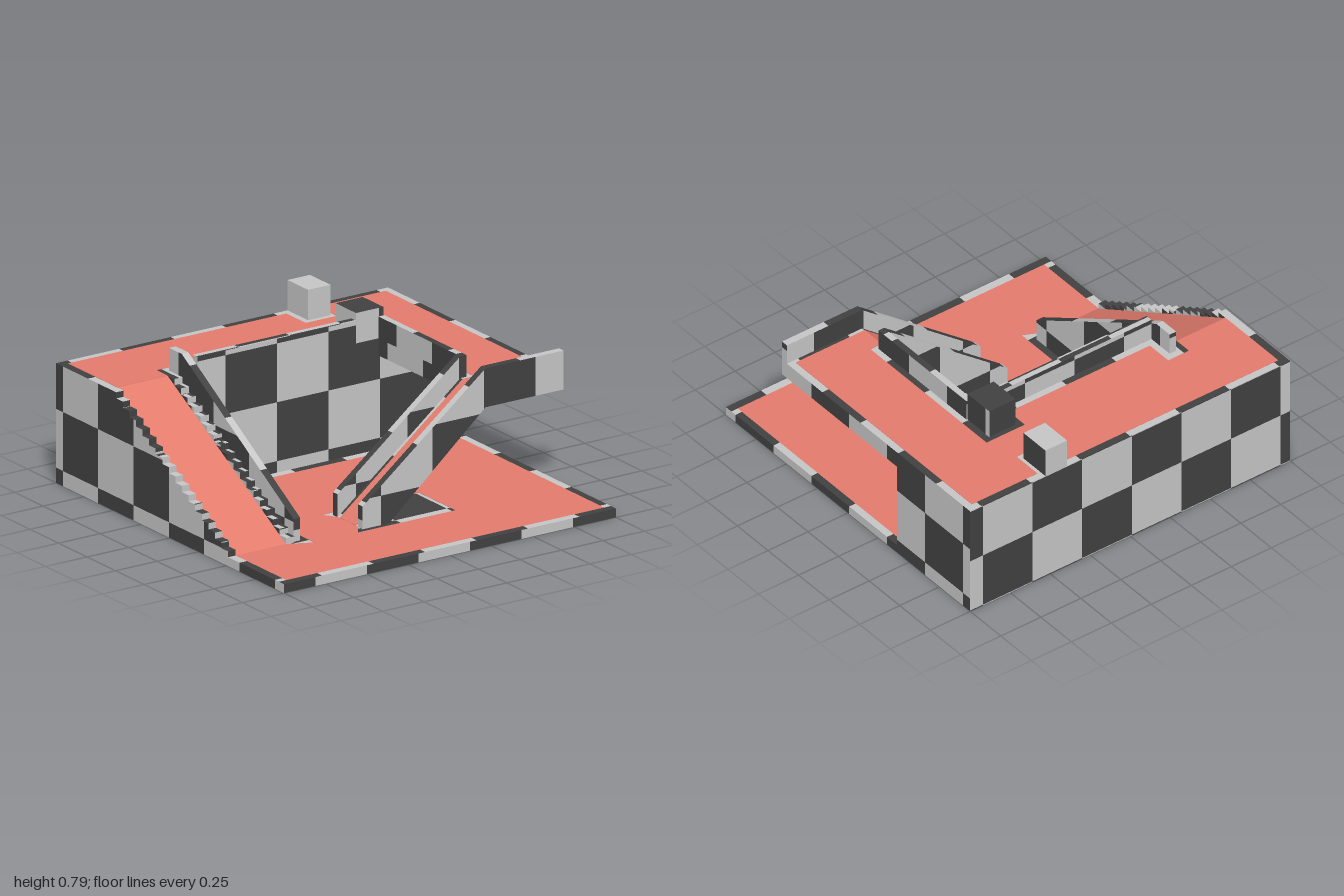
import * as THREE from 'three';

const light = new THREE.MeshStandardMaterial({ color: 0xc6c6c6 });
light.name = 'lightGrey';
const dark = new THREE.MeshStandardMaterial({ color: 0x414141 });
dark.name = 'darkGrey';
const red = new THREE.MeshStandardMaterial({ color: 0xe47c6d });
red.name = 'redFloor';

const CELL = 0.31;
const FLOOR = 0.045, DECK = 0.63, RAIL = 0.745;

// Default checker grid origin for faces whose normal runs along x, y or z
const GRID = [[0, 0.08, -0.01], [0, 0, -0.1], [0.23, 0.105, 0]];

// Part of a polygon lying on one side of an axis-aligned plane
function clip(poly, axis, value, sign) {
  const out = [];
  poly.forEach((a, i) => {
    const b = poly[(i + 1) % poly.length];
    const da = (a[axis] - value) * sign, db = (b[axis] - value) * sign;
    if (da >= 0) out.push(a);
    if (da * db < 0) out.push(a.map((v, k) => v + (b[k] - v) * da / (da - db)));
  });
  return out;
}

// Cuts every face along a checker grid and sorts the pieces into two groups
function checkered(source, grid = GRID) {
  const geo = source.index ? source.toNonIndexed() : source;
  const p = geo.attributes.position;
  const pieces = [[], []];
  const A = new THREE.Vector3(), B = new THREE.Vector3(), C = new THREE.Vector3();
  for (let t = 0; t < p.count; t += 3) {
    [A, B, C].forEach((v, k) => v.fromBufferAttribute(p, t + k));
    const tri = [A, B, C].map(v => v.toArray());
    const n = B.clone().sub(A).cross(C.clone().sub(A)).toArray().map(Math.abs);
    const main = n.indexOf(Math.max(...n));
    const [u, v] = [0, 1, 2].filter(k => k !== main);
    const range = k => {
      const idx = tri.map(q => (q[k] - grid[main][k]) / CELL);
      return [Math.floor(Math.min(...idx) + 1e-5), Math.ceil(Math.max(...idx) - 1e-5)];
    };
    const cut = (poly, k, i) => {
      const lo = grid[main][k] + i * CELL;
      return clip(clip(poly, k, lo, 1), k, lo + CELL, -1);
    };
    const [u0, u1] = range(u), [v0, v1] = range(v);
    for (let i = u0; i < u1; i++) {
      const strip = cut(tri, u, i);
      for (let j = v0; j < v1; j++) {
        const cell = cut(strip, v, j);
        for (let k = 2; k < cell.length; k++)
          pieces[Math.abs(i + j) % 2].push(...cell[0], ...cell[k - 1], ...cell[k]);
      }
    }
  }
  const out = new THREE.BufferGeometry();
  out.setAttribute('position', new THREE.Float32BufferAttribute([...pieces[0], ...pieces[1]], 3));
  out.addGroup(0, pieces[0].length / 3, 0);
  out.addGroup(pieces[0].length / 3, pieces[1].length / 3, 1);
  out.computeVertexNormals();
  return out;
}

const shapeOf = pts => new THREE.Shape(pts.map(q => new THREE.Vector2(...q)));
const extrude = (shape, depth) => new THREE.ExtrudeGeometry(shape, { depth, bevelEnabled: false });
const box = (x0, x1, y0, y1, z0, z1) =>
  new THREE.BoxGeometry(x1 - x0, y1 - y0, z1 - z0).translate((x0 + x1) / 2, (y0 + y1) / 2, (z0 + z1) / 2);
// Profile in (z, y), extruded along x
const alongX = (pts, x0, x1) =>
  extrude(shapeOf(pts.map(([z, y]) => [-z, y])), x1 - x0).rotateY(Math.PI / 2).translate(x0, 0, 0);
// Profile in (x, y), extruded along z
const alongZ = (pts, z0, z1) => extrude(shapeOf(pts), z1 - z0).translate(0, 0, z0);
// Plan in (x, z), extruded upwards
const flip = pts => pts.map(([x, z]) => [x, -z]);
function alongY(pts, y0, y1, hole) {
  const s = shapeOf(flip(pts));
  if (hole) s.holes.push(shapeOf(flip(hole)));
  return extrude(s, y1 - y0).rotateX(-Math.PI / 2).translate(0, y0, 0);
}

export function createModel() {
  const group = new THREE.Group();
  const add = (name, geo, material) => {
    const m = new THREE.Mesh(geo, material);
    m.name = name;
    group.add(m);
  };
  const addChecker = (name, geo, grid) => add(name, checkered(geo, grid), [light, dark]);

  // Ground slab with its red floor; bare border left around walls and ramp
  const slabFront = [0.12, -0.4, 0];
  addChecker('groundSlab', box(-1, 1, 0, FLOOR, -0.98, 1), [GRID[0], GRID[1], slabFront]);
  add('groundFloor', alongY(
    [[-0.955, 0.955], [0.96, 0.955], [0.96, -0.35], [-0.52, -0.35], [-0.52, 0.57], [-0.65, 0.51], [-0.955, 0.51]],
    FLOOR - 0.002, FLOOR + 0.002,
    [[-0.26, 0.25], [0.33, 0.25], [0.33, 0.57], [-0.26, 0.57], [-0.21, 0.5], [-0.21, 0.32]]), red);

  // Striped edging on the slab's front and sides
  const edgeTop = FLOOR + 0.002;
  addChecker('frontEdging', box(-1, 1, FLOOR, edgeTop, 0.955, 1), [GRID[0], [0.16, 0, 0.6], slabFront]);
  const sideGrid = [GRID[0], [-0.155, 0, -0.01], slabFront];
  addChecker('leftEdging', box(0.96, 1, FLOOR, edgeTop, -0.4, 0.955), sideGrid);
  addChecker('rightEdging', box(-1, -0.955, FLOOR, edgeTop, 0.51, 0.955), sideGrid);

  // Raised back block, its rear wall and the bridge deck
  addChecker('backBlock', alongY(
    [[-1, -0.98], [1, -0.98], [1, -0.4], [-0.6, -0.4], [-0.6, -0.53], [-1, -0.53]], FLOOR, DECK));
  addChecker('rearWall', box(-1, 1, 0, DECK, -1, -0.98), [GRID[0], GRID[1], [0.3, 0.005, 0]]);
  addChecker('bridgeDeck', box(0.53, 1, 0.54, DECK, -0.4, 0.5));
  add('upperFloor', alongY(
    [[-0.955, -0.96], [0.36, -0.96], [0.36, -0.79], [0.55, -0.79], [0.55, -0.96], [0.96, -0.96],
      [0.96, 0.48], [0.53, 0.48], [0.53, 0.34], [0.6, 0.34], [0.6, -0.61], [0.36, -0.61],
      [0.36, -0.48], [-0.52, -0.48], [-0.52, -0.63], [-0.65, -0.63], [-0.65, -0.53], [-0.955, -0.53]],
    DECK - 0.002, DECK + 0.002), red);

  // Staircase: stepped edges on both sides of a smooth red ramp
  const STEPS = 18, zFront = 0.51, zBack = -0.53;
  const rise = (DECK - FLOOR) / STEPS, tread = (zFront - zBack) / STEPS;
  const steps = [[zBack, FLOOR], [zFront, FLOOR]];
  for (let k = 0; k < STEPS; k++) {
    const y = FLOOR + (k + 1) * rise;
    steps.push([zFront - k * tread, y], [zFront - (k + 1) * tread, y]);
  }
  addChecker('outerSteps', alongX(steps, -1, -0.955));
  addChecker('innerSteps', alongX(steps, -0.65, -0.6));
  add('stairRamp', alongX([[zFront, FLOOR], [zBack, DECK], [zBack, FLOOR]], -0.955, -0.65), red);
  addChecker('stairWall', alongX(
    [[0.5, FLOOR], [0.5, 0.165], [-0.48, 0.75], [-0.59, 0.75], [-0.59, 0.62], [-0.4, 0.62], [-0.4, FLOOR]],
    -0.6, -0.56), [[0, 0.15, 0.11], GRID[1], GRID[2]]);

  // Centre ramp climbing to the bridge
  const rampGrid = [[0, 0.2, 0.25], [0.12, 0, 0.26], [-0.1, 0.2, 0]];
  addChecker('centreRamp', alongZ(
    [[-0.21, FLOOR], [0.53, DECK], [0.53, 0.54], [-0.05, FLOOR]], 0.32, 0.5), rampGrid);
  add('centreRampFloor', alongZ(
    [[-0.21, FLOOR], [0.53, DECK - 0.002], [0.53, DECK + 0.002], [-0.21, FLOOR + 0.004]], 0.34, 0.48), red);
  const rampSide = [[0.53, 0.54], [-0.05, FLOOR], [-0.21, FLOOR], [-0.21, 0.165], [0.53, RAIL]];
  addChecker('frontRail', alongZ([...rampSide, [1, RAIL], [1, 0.54]], 0.5, 0.54),
    [[0, 0.09, -0.06], rampGrid[1], rampGrid[2]]);
  addChecker('innerRampRail', alongZ(
    [...rampSide, [0.565, RAIL], [0.565, DECK], [0.53, DECK]], 0.28, 0.32), rampGrid);

  // Upper rails
  addChecker('backRail', box(-0.56, 0.4, DECK, 0.75, -0.44, -0.4));
  addChecker('bridgeRail', box(0.53, 0.565, DECK, RAIL, -0.4, 0.28), [[0, 0.5, -0.24], GRID[1], GRID[2]]);

  // Square posts
  add('cornerPost', box(0.395, 0.535, DECK, 0.79, -0.58, -0.4), [dark, light, dark, dark, light, dark]);
  add('cornerPostEdge', box(0.535, 0.56, DECK, 0.79, -0.58, -0.4), dark);
  add('cornerPostStripe', box(0.56, 0.562, DECK, 0.79, -0.58, -0.55), light);
  add('backPost', box(0.395, 0.53, DECK, 0.79, -1, -0.82), [dark, light, light, light, light, light]);

  return group;
}
